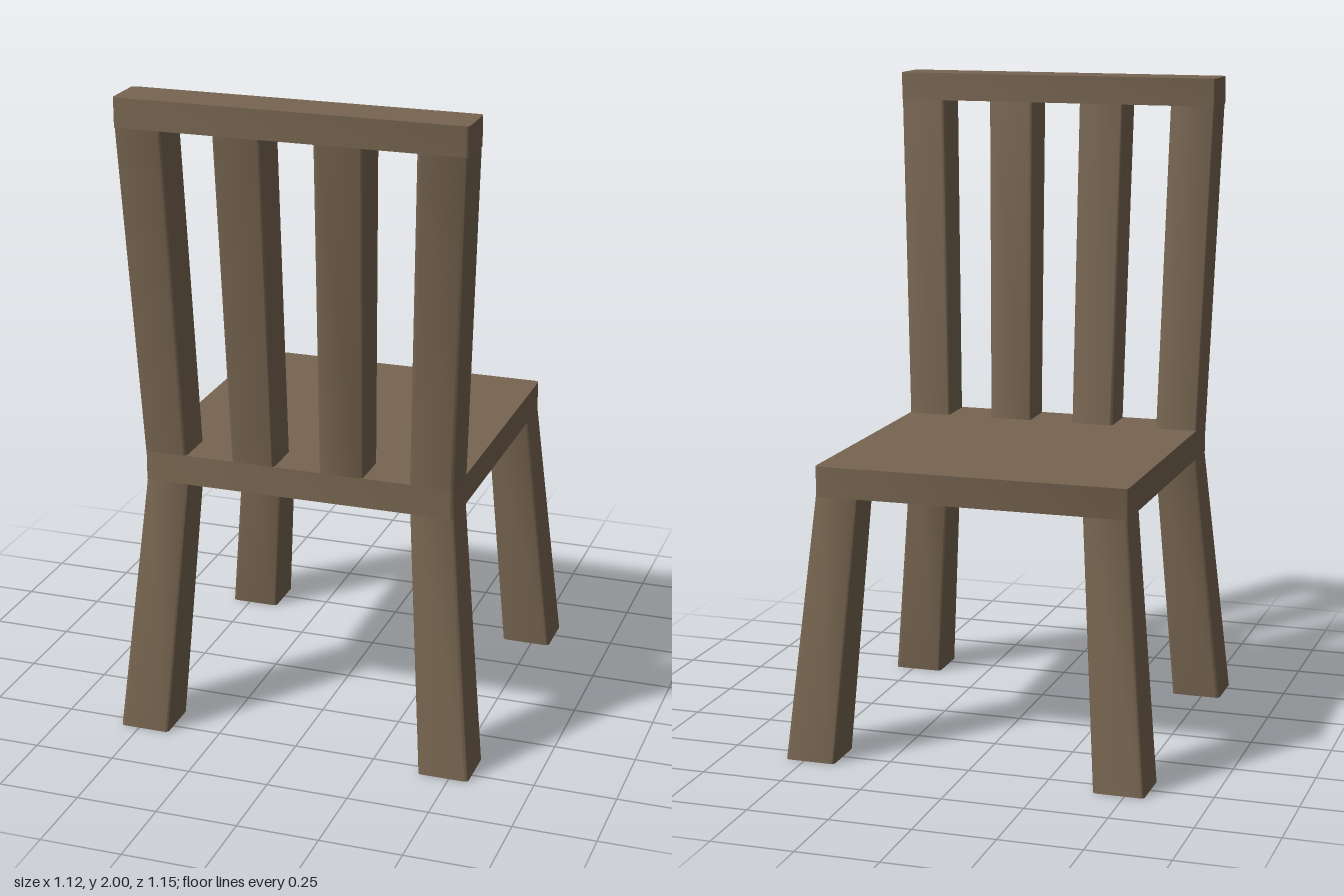
import * as THREE from 'three';
import { toCreasedNormals } from 'three/addons/utils/BufferGeometryUtils.js';

const wood = new THREE.MeshStandardMaterial({ color: 0x776550 });
wood.name = 'brown wood';

// Rectangle outline with softened corners, centred on the origin
function roundedRect(w, d, r) {
  const s = new THREE.Shape();
  const x = w / 2 - r, y = d / 2 - r;
  s.absarc(x, y, r, 0, Math.PI / 2);
  s.absarc(-x, y, r, Math.PI / 2, Math.PI);
  s.absarc(-x, -y, r, Math.PI, Math.PI * 1.5);
  s.absarc(x, -y, r, Math.PI * 1.5, Math.PI * 2);
  return s;
}

// Leaning, tapering beam; each end is [xMin, xMax, zMin, zMax]
function beam(name, y0, y1, low, high = low) {
  const w = low[1] - low[0], d = low[3] - low[2];
  const geo = new THREE.ExtrudeGeometry(roundedRect(w, d, 0.012), {
    depth: 1, bevelEnabled: false, curveSegments: 3,
  });
  geo.rotateX(-Math.PI / 2);
  const p = geo.attributes.position;
  for (let i = 0; i < p.count; i++) {
    const t = p.getY(i), u = p.getX(i) / w + 0.5, v = p.getZ(i) / d + 0.5;
    const r = low.map((a, k) => THREE.MathUtils.lerp(a, high[k], t));
    p.setXYZ(i,
      THREE.MathUtils.lerp(r[0], r[1], u),
      THREE.MathUtils.lerp(y0, y1, t),
      THREE.MathUtils.lerp(r[2], r[3], v));
  }
  geo.computeVertexNormals();
  const mesh = new THREE.Mesh(toCreasedNormals(geo, 0.7), wood);
  mesh.name = name;
  return mesh;
}

export function createModel() {
  const chair = new THREE.Group();
  chair.name = 'chair';

  // Seat board
  chair.add(beam('seat', 0.805, 0.897, [-0.483, 0.481, -0.498, 0.47]));

  // Splayed legs, mirrored left and right
  for (const side of [1, -1]) {
    const xs = (a, b) => (side > 0 ? [a, b] : [-b, -a]);
    const label = side > 0 ? 'left' : 'right';
    chair.add(beam(label + 'BackrestLeg', 0, 0.805,
      [...xs(0.403, 0.559), 0.39, 0.545], [...xs(0.347, 0.481), 0.335, 0.47]));
    chair.add(beam(label + 'OpenSideLeg', 0, 0.805,
      [...xs(0.403, 0.559), -0.573, -0.417], [...xs(0.347, 0.481), -0.498, -0.361]));
  }

  // Backrest slats fan out slightly and lean away from the seat
  const slats = [
    [-0.484, -0.35, -0.505, -0.361],
    [-0.207, -0.072, -0.209, -0.063],
    [0.068, 0.203, 0.09, 0.237],
    [0.345, 0.481, 0.389, 0.535],
  ];
  slats.forEach(([a, b, c, d], i) => chair.add(beam('backSlat' + (i + 1), 0.897, 1.913,
    [a, b, 0.332, 0.47], [c, d, 0.428, 0.574])));

  // Top rail
  chair.add(beam('topRail', 1.913, 2, [-0.507, 0.537, 0.428, 0.574]));
  return chair;
}
